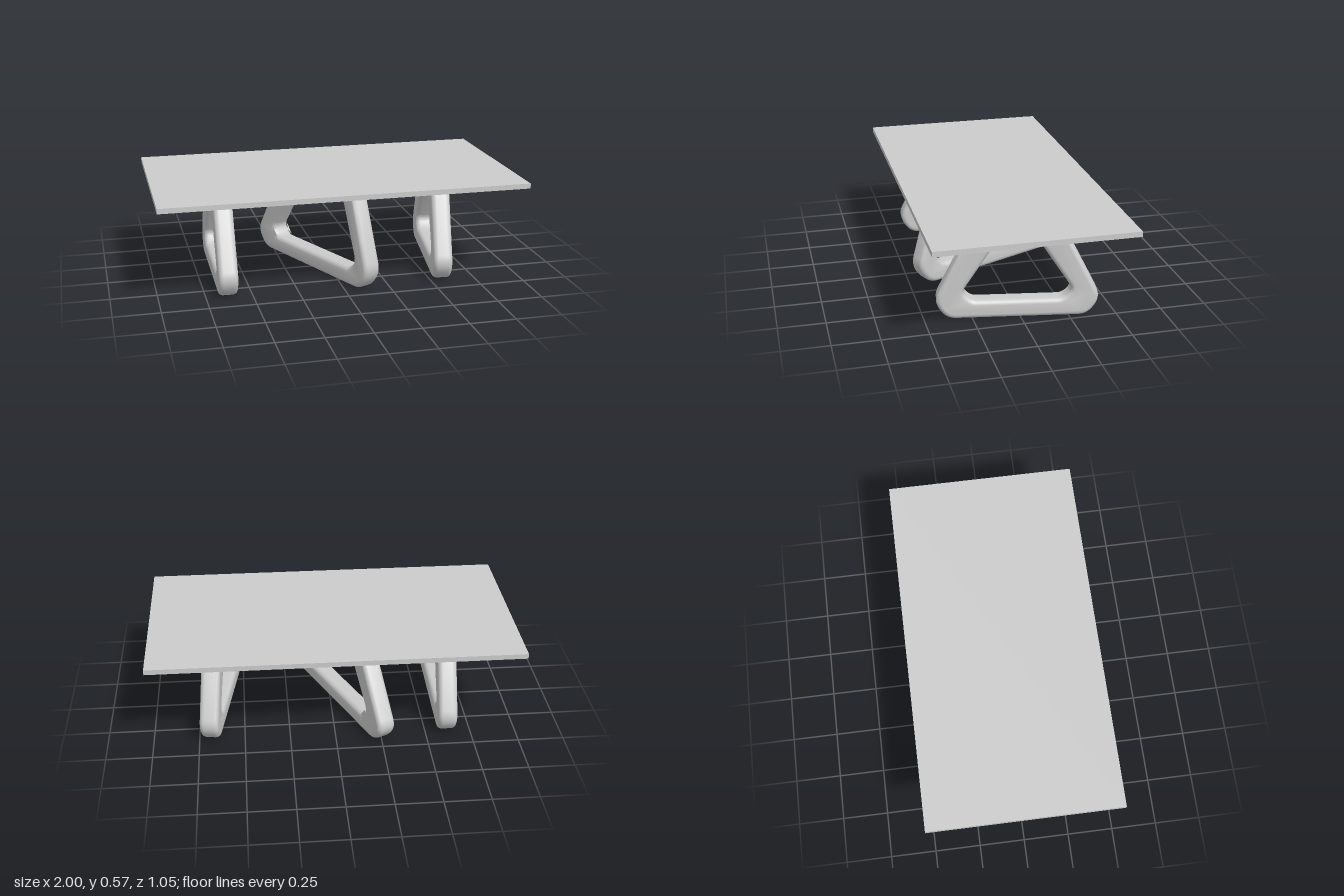
import * as THREE from 'three';
import { toCreasedNormals } from 'three/addons/utils/BufferGeometryUtils.js';

const material = new THREE.MeshStandardMaterial({ color: 0xcccccc });
const DEG = Math.PI / 180;

// Closed outline whose corners [x, y, radius] are rounded
function roundedOutline(path, corners) {
  const pts = corners.map(([x, y]) => new THREE.Vector2(x, y));
  const n = pts.length;
  const toward = (a, b, d) => b.clone().sub(a).setLength(d).add(a);
  pts.forEach((p, i) => {
    const r = corners[i][2];
    const start = toward(p, pts[(i + n - 1) % n], r);
    const end = toward(p, pts[(i + 1) % n], r);
    if (i === 0) path.moveTo(start.x, start.y);
    else path.lineTo(start.x, start.y);
    path.quadraticCurveTo(p.x, p.y, end.x, end.y);
  });
  path.closePath();
  return path;
}

// Soft-edged trapezoid frame standing in a vertical plane, turned about y
function legFrame(name, outer, inner, x, z, angle) {
  const thickness = 0.105, bevel = 0.026;
  const shape = roundedOutline(new THREE.Shape(), outer);
  shape.holes.push(roundedOutline(new THREE.Path(), inner));
  const geometry = new THREE.ExtrudeGeometry(shape, {
    depth: thickness - 2 * bevel,
    bevelThickness: bevel, bevelSize: bevel, bevelOffset: -bevel,
    bevelSegments: 5, curveSegments: 10,
  });
  geometry.translate(0, 0, bevel - thickness / 2);
  const mesh = new THREE.Mesh(toCreasedNormals(geometry, 35 * DEG), material);
  mesh.name = name;
  mesh.position.set(x, 0, z);
  mesh.rotation.y = angle * DEG - Math.PI / 2;
  return mesh;
}

export function createModel() {
  const group = new THREE.Group();
  group.name = 'table';

  // Thin slab top
  const top = new THREE.Mesh(new THREE.BoxGeometry(2, 0.028, 1.05), material);
  top.name = 'tableTop';
  top.position.y = 0.554;
  group.add(top);

  // Symmetrical end legs
  const endOuter = [
    [-0.37, 0, 0.05], [0.37, 0, 0.05], [0.44, 0.1, 0.06],
    [0.215, 0.545, 0.005], [-0.215, 0.545, 0.005], [-0.44, 0.1, 0.06],
  ];
  const endInner = [
    [-0.24, 0.1, 0.03], [0.24, 0.1, 0.03], [0.29, 0.15, 0.035],
    [0.075, 0.48, 0.035], [-0.075, 0.48, 0.035], [-0.29, 0.15, 0.035],
  ];
  group.add(legFrame('rightLeg', endOuter, endInner, -0.625, -0.007, -1));
  group.add(legFrame('leftLeg', endOuter, endInner, 0.625, 0.01, -9.5));

  // Larger, lopsided middle leg, steeper at the front
  const midOuter = [
    [-0.45, 0, 0.05], [0.45, 0, 0.05], [0.525, 0.1, 0.06],
    [0.385, 0.545, 0.005], [-0.265, 0.545, 0.005], [-0.53, 0.1, 0.06],
  ];
  const midInner = [
    [-0.32, 0.1, 0.03], [0.36, 0.1, 0.03], [0.41, 0.15, 0.035],
    [0.295, 0.485, 0.035], [-0.135, 0.485, 0.035], [-0.36, 0.15, 0.035],
  ];
  group.add(legFrame('middleLeg', midOuter, midInner, -0.065, -0.01, 24));

  return group;
}
